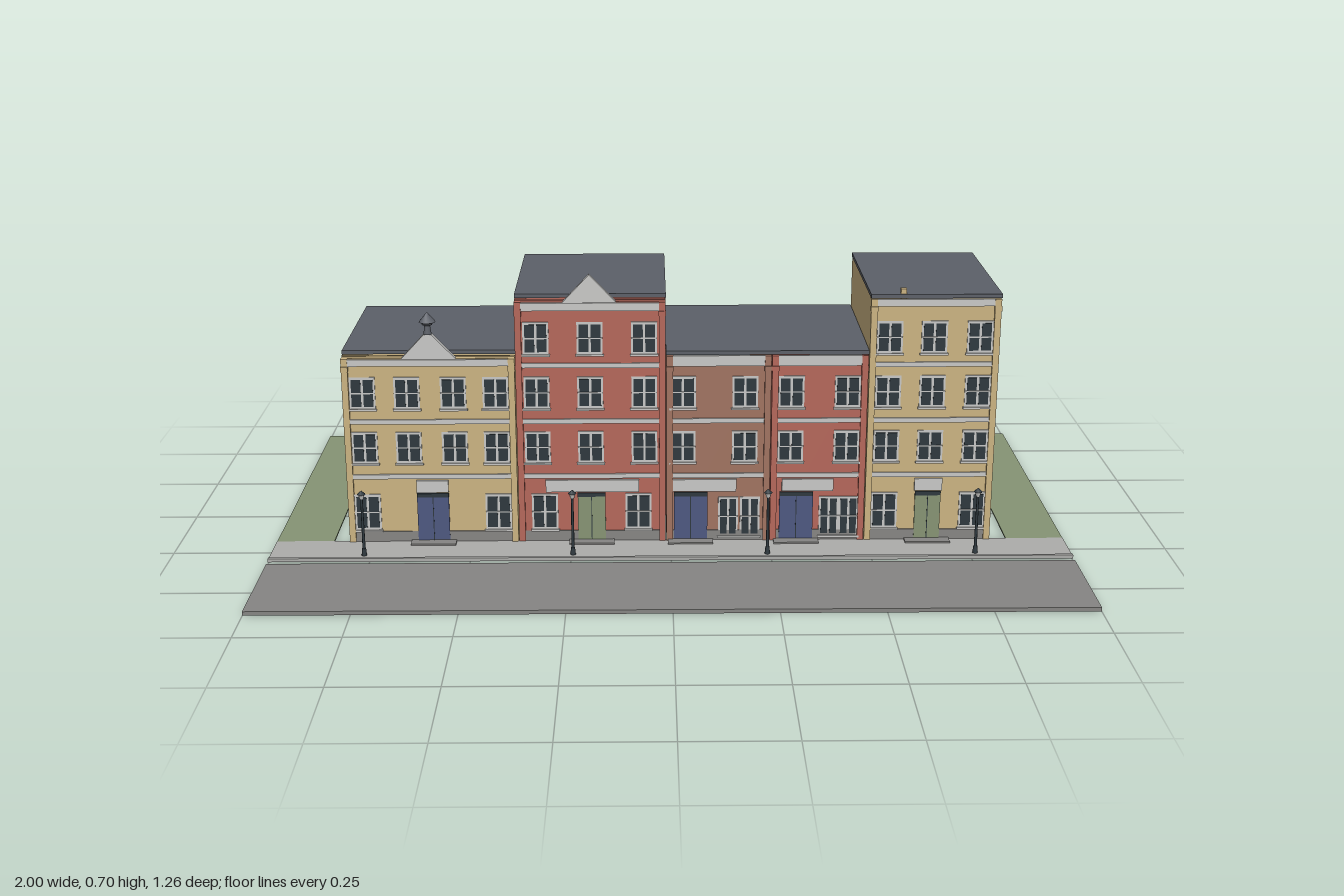
import * as THREE from 'three';

const mat = (name, color) => {
  const m = new THREE.MeshStandardMaterial({ color, side: THREE.DoubleSide });
  m.name = name;
  return m;
};

export function createModel() {
  const yellow = mat('yellow stone', 0xcbb382), red = mat('red brick', 0xb5675a);
  const brown = mat('brown brick', 0xa07361), slate = mat('slate', 0x5c6068);
  const trim = mat('pale trim', 0xc8c8c6), dark = mat('dark glass', 0x2e383e);
  const blue = mat('blue paint', 0x4d5880), green = mat('green', 0x869474);
  const asphalt = mat('asphalt', 0x868583), paving = mat('paving', 0xacacaa);

  const model = new THREE.Group();
  model.name = 'terraceStreet';
  const add = (parent, name, geo, m, x = 0, y = 0, z = 0) => {
    const mesh = new THREE.Mesh(geo, m);
    mesh.name = name;
    mesh.position.set(x, y, z);
    parent.add(mesh);
    return mesh;
  };
  // box given by its limits on each axis
  const block = (parent, name, m, x0, x1, y0, y1, z0, z1) =>
    add(parent, name, new THREE.BoxGeometry(x1 - x0, y1 - y0, z1 - z0), m,
      (x0 + x1) / 2, (y0 + y1) / 2, (z0 + z1) / 2);

  // Ground: road, pavement with kerb, and lawn around the houses
  block(model, 'road', asphalt, -1, 1, 0, 0.01, 0.345, 0.63);
  block(model, 'pavement', paving, -1, 1, 0.006, 0.011, 0.2, 0.322);
  block(model, 'kerb', paving, -1, 1, 0.006, 0.015, 0.316, 0.325);
  block(model, 'lawnBack', green, -1, 1, 0.006, 0.01, -0.63, -0.25);
  for (const s of [-1, 1])
    block(model, 'lawnSide', green, Math.min(s, s * 0.855), Math.max(s, s * 0.855), 0.006, 0.01, -0.25, 0.2);

  // Hollow house body: a box without top and bottom
  const shell = (parent, m, x0, x1, y1, z0, z1) => {
    const mesh = block(parent, 'walls', m, x0, x1, 0.008, y1, z0, z1);
    const index = Array.from(mesh.geometry.index.array);
    mesh.geometry.clearGroups();
    mesh.geometry.setIndex([...index.slice(0, 12), ...index.slice(24)]);
  };

  // Sash window: frame, two lights with a glazing bar, and a sill
  const windowAt = (parent, x, y, z, w, h) => {
    const g = new THREE.Group();
    g.name = 'window';
    g.position.set(x, y, z);
    parent.add(g);
    block(g, 'frame', trim, -w / 2, w / 2, -h / 2, h / 2, -0.002, 0.003);
    const pane = w / 2 - 0.008;
    for (const s of [-1, 1])
      add(g, 'glass', new THREE.BoxGeometry(pane, h - 0.012, 0.002), dark, s * (pane / 2 + 0.003), 0, 0.003);
    block(g, 'glazingBar', trim, -w / 2, w / 2, -0.0015, 0.0015, 0.003, 0.005);
    block(g, 'sill', trim, -w / 2 - 0.003, w / 2 + 0.003, -h / 2 - 0.005, -h / 2, 0, 0.007);
  };

  // Door with two leaves, transom and a step
  const doorAt = (parent, x, z, w, m) => {
    block(parent, 'door', m, x - w / 2, x + w / 2, 0.014, 0.13, z, z + 0.004);
    block(parent, 'doorTransom', dark, x - w / 2, x + w / 2, 0.13, 0.14, z, z + 0.005);
    block(parent, 'doorSplit', dark, x - 0.001, x + 0.001, 0.014, 0.13, z + 0.003, z + 0.005);
    block(parent, 'doorStep', asphalt, x - 0.057, x + 0.057, 0.009, 0.015, z, 0.232);
  };

  // Flat gable standing on the cornice
  const gableAt = (parent, x, y, h) => {
    const s = new THREE.Shape([[-0.073, 0], [0.073, 0], [0, h]].map(p => new THREE.Vector2(...p)));
    add(parent, 'gable', new THREE.ExtrudeGeometry(s, { depth: 0.015, bevelEnabled: false }), trim, x, y, 0.187);
  };

  const low = [0.262, 0.405], tall = [0.262, 0.405, 0.545];
  const houses = [
    { name: 'yellowHouse', m: yellow, x: [-0.815, -0.385], top: 0.497, roof: [-0.257, 0.172], rows: low,
      cols: [-0.765, -0.655, -0.54, -0.435], ground: [-0.765, -0.435], door: [-0.6, 0.08, blue],
      sign: [-0.64, -0.56], cornice: [0.475, 0.492] },
    { name: 'tallRedHouse', m: red, x: [-0.385, -0.012], top: 0.64, roof: [-0.257, 0.172], rows: tall,
      cols: [-0.333, -0.2, -0.066], ground: [-0.318, -0.082], door: [-0.2, 0.07, green],
      sign: [-0.315, -0.08], cornice: [0.615, 0.635] },
    { name: 'brownHouse', m: brown, x: [-0.012, 0.25], top: 0.502, roof: [-0.24, 0.205], rows: low,
      cols: [0.03, 0.185], ground: [0.145, 0.2], door: [0.05, 0.085, blue],
      sign: [-0.008, 0.165], cornice: [0.473, 0.5] },
    { name: 'redHouse', m: red, x: [0.25, 0.49], top: 0.502, roof: [-0.24, 0.205], rows: low,
      cols: [0.3, 0.44], ground: [0.4, 0.45], door: [0.317, 0.085, blue],
      sign: [0.28, 0.41], cornice: [0.473, 0.5] },
    { name: 'tallYellowHouse', m: yellow, x: [0.49, 0.812], top: 0.645, roof: [-0.24, 0.208], rows: tall,
      cols: [0.54, 0.65, 0.763], ground: [0.54, 0.763], door: [0.65, 0.065, green],
      sign: [0.615, 0.685], cornice: [0.624, 0.642] },
  ];

  const front = 0.2;
  for (const h of houses) {
    const g = new THREE.Group();
    g.name = h.name;
    model.add(g);
    const [x0, x1] = h.x;
    shell(g, h.m, x0 + 0.001, x1 - 0.001, h.top, -0.237, 0.185);
    block(g, 'facade', h.m, x0 + 0.001, x1 - 0.001, 0.008, h.top - 0.003, 0.171, front);
    block(g, 'roof', slate, x0, x1, h.top, h.top + 0.01, ...h.roof);
    block(g, 'plinth', asphalt, x0 + 0.015, x1 - 0.015, 0.01, 0.038, front, front + 0.003);
    // Corner piers with small capitals
    for (const px of [x0 + 0.009, x1 - 0.009]) {
      block(g, 'pier', h.m, px - 0.008, px + 0.008, 0.01, h.top - 0.003, front, front + 0.007);
      block(g, 'pierCapital', h.m, px - 0.009, px + 0.009, h.cornice[0] - 0.012, h.cornice[0], front, front + 0.01);
    }
    // String courses and cornice
    for (const y of [0.185, 0.33, 0.475].slice(0, h.rows.length))
      block(g, 'stringCourse', trim, x0 + 0.017, x1 - 0.017, y - 0.006, y + 0.006, front, front + 0.004);
    block(g, 'cornice', trim, x0 + 0.017, x1 - 0.017, ...h.cornice, front, front + 0.006);
    // Openings
    for (const y of h.rows) for (const x of h.cols) windowAt(g, x, y, front, 0.064, 0.082);
    const shop = h.ground[1] - h.ground[0] < 0.1;
    for (const x of h.ground)
      if (shop) windowAt(g, x, 0.075, front, 0.05, 0.105);
      else windowAt(g, x, 0.09, front, 0.066, 0.095);
    doorAt(g, h.door[0], front, h.door[1], h.door[2]);
    block(g, 'fasciaBoard', trim, ...h.sign, 0.143, 0.175, front, front + 0.006);
  }

  // Gables and roof ornaments
  gableAt(model, -0.598, 0.487, 0.078);
  gableAt(model, -0.2, 0.628, 0.077);
  add(model, 'finialStem', new THREE.CylinderGeometry(0.006, 0.01, 0.03, 8), slate, -0.597, 0.572, 0.203);
  add(model, 'finialCollar', new THREE.CylinderGeometry(0.017, 0.012, 0.008, 10), slate, -0.597, 0.585, 0.203);
  add(model, 'finialCap', new THREE.ConeGeometry(0.021, 0.025, 10), slate, -0.597, 0.601, 0.203);
  block(model, 'roofPost', yellow, 0.563, 0.577, 0.64, 0.668, 0.19, 0.204);

  // Street lamps
  for (const x of [-0.765, -0.245, 0.24, 0.76]) {
    const lamp = new THREE.Group();
    lamp.name = 'streetLamp';
    lamp.position.set(x, 0.01, 0.295);
    model.add(lamp);
    add(lamp, 'lampBase', new THREE.CylinderGeometry(0.005, 0.007, 0.02, 8), dark, 0, 0.01);
    add(lamp, 'lampPost', new THREE.CylinderGeometry(0.003, 0.004, 0.145, 8), dark, 0, 0.08);
    add(lamp, 'lantern', new THREE.CylinderGeometry(0.008, 0.005, 0.012, 8), trim, 0, 0.157);
    add(lamp, 'lampCap', new THREE.ConeGeometry(0.011, 0.01, 8), dark, 0, 0.168);
  }
  return model;
}
